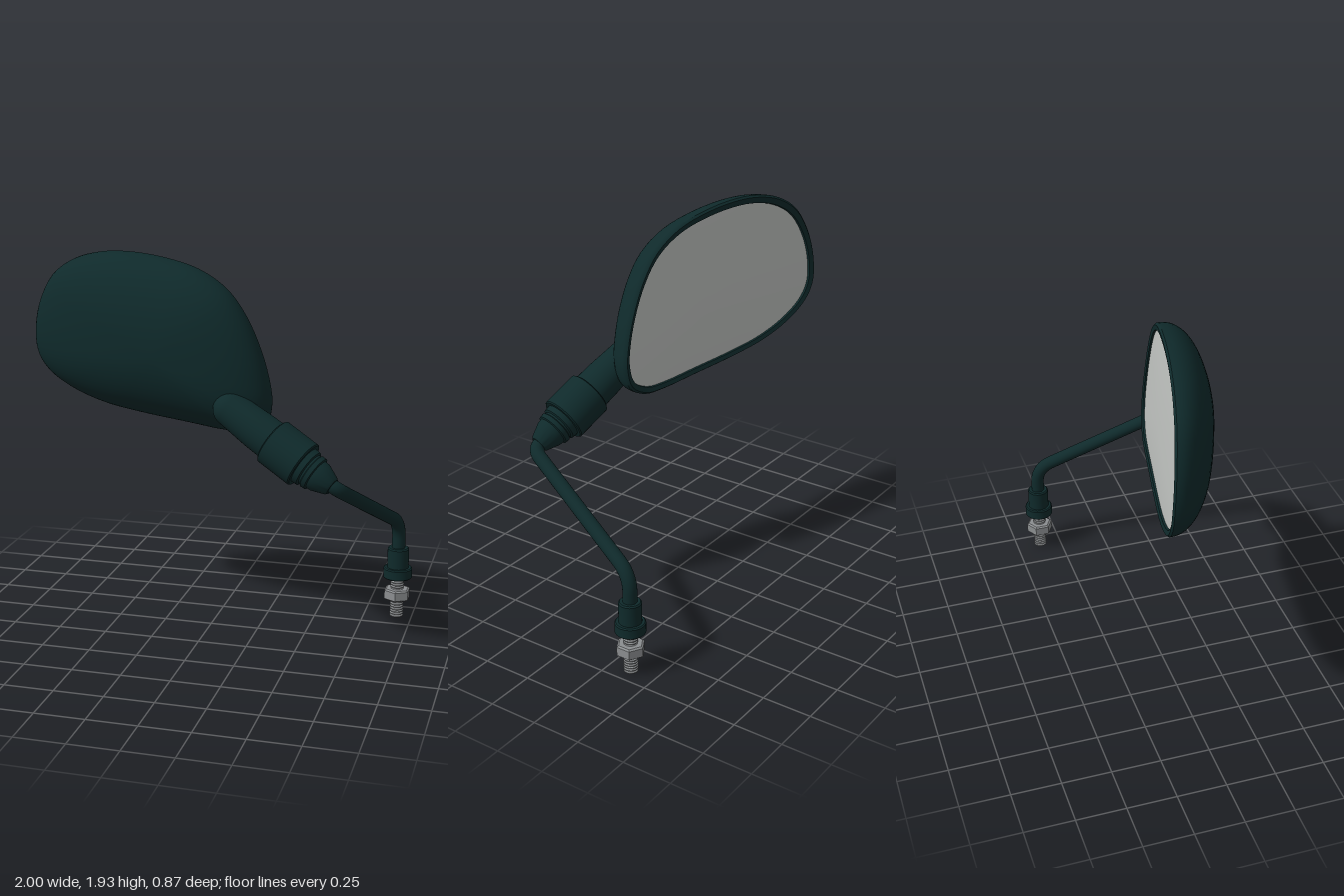
import * as THREE from 'three';
import { toCreasedNormals } from 'three/addons/utils/BufferGeometryUtils.js';

const V = (x, y, z) => new THREE.Vector3(x, y, z);

function material(name, color) {
  const m = new THREE.MeshStandardMaterial({ color });
  m.name = name;
  return m;
}

// Mirror head outline, counter-clockwise seen from the front
const OUTLINE = [
  [-1, 1.47], [-0.985, 1.36], [-0.92, 1.275], [-0.78, 1.195], [-0.6, 1.14], [-0.4, 1.112],
  [-0.1, 1.088], [0.1, 1.073], [0.22, 1.08], [0.31, 1.135], [0.335, 1.23], [0.325, 1.33],
  [0.28, 1.49], [0.2, 1.66], [0.1, 1.785], [-0.05, 1.873], [-0.25, 1.92], [-0.45, 1.935],
  [-0.6, 1.923], [-0.75, 1.88], [-0.88, 1.79], [-0.97, 1.63],
];
const CX = -0.25, CY = 1.45, SEG = 88;
const outline = new THREE.CatmullRomCurve3(OUTLINE.map(([x, y]) => V(x, y, 0)), true)
  .getPoints(SEG).slice(0, SEG);
const planeZ = (x, y) => 0.02 + 0.218 * x + 0.06 * (y - CY);

// Skin over rings [scaleX, scaleY, depth] of the outline on the tilted mirror plane
function ringSkin(rings, crease) {
  const pos = [], index = [];
  for (const [sx, sy, d] of rings) {
    for (const p of outline) {
      const x = CX + (p.x - CX) * sx, y = CY + (p.y - CY) * sy;
      pos.push(x, y, planeZ(x, y) + d);
    }
  }
  for (let i = 0; i < rings.length - 1; i++) {
    for (let j = 0; j < SEG; j++) {
      const k = (j + 1) % SEG;
      const a = i * SEG + j, b = i * SEG + k, c = a + SEG, d = b + SEG;
      if (rings[i][0] > 0) index.push(a, b, d);
      if (rings[i + 1][0] > 0) index.push(a, d, c);
      else if (rings[i][0] === 0) continue;
    }
  }
  const g = new THREE.BufferGeometry();
  g.setAttribute('position', new THREE.Float32BufferAttribute(pos, 3));
  g.setIndex(index);
  return toCreasedNormals(g, crease);
}

// Turned part from [height, radius] pairs
function turned(profile, sides, crease = 0.6) {
  const pts = profile.map(([h, r]) => new THREE.Vector2(r, h));
  return toCreasedNormals(new THREE.LatheGeometry(pts, sides), crease);
}

export function createModel() {
  const group = new THREE.Group();
  const plastic = material('dark plastic', 0x0f2a2b);
  const glassMat = material('mirror glass', 0xc2c5c2);
  const steel = material('steel', 0x8c8f91);

  const add = (name, geometry, mat, parent = group) => {
    const mesh = new THREE.Mesh(geometry, mat);
    mesh.name = name;
    parent.add(mesh);
    return mesh;
  };

  // Housing: recessed lip, rim, then a domed shell
  const rings = [[0.945, 0.912, 0.02], [0.95, 0.92, 0], [0.985, 0.98, -0.006], [1, 1, 0.004]];
  for (let i = 0; i <= 22; i++) {
    const a = (i / 22) * Math.PI / 2;
    const s = i === 22 ? 0 : Math.cos(a);
    rings.push([s, s, 0.018 + 0.247 * Math.sin(a)]);
  }
  add('housing', ringSkin(rings, 0.7), plastic);

  // Slightly convex glass
  const glassRings = [];
  for (let i = 0; i <= 8; i++) {
    const s = i / 8;
    glassRings.push([0.947 * s, 0.915 * s, 0.01 - 0.012 * (1 - s * s)]);
  }
  add('mirrorGlass', ringSkin(glassRings, 1), glassMat);

  // Neck and joint share one slanted axis
  const joint = new THREE.Group();
  joint.name = 'joint';
  joint.position.set(0.38, 1.09, 0.27);
  joint.quaternion.setFromUnitVectors(V(0, 1, 0), V(0.842, -0.495, 0.213).normalize());
  group.add(joint);

  const neck = [];
  for (let i = 0; i <= 8; i++) {
    const a = (i / 8) * Math.PI / 2;
    neck.push([-0.265 - 0.088 * Math.cos(a), 0.088 * Math.sin(a)]);
  }
  neck.push([-0.1, 0.098], [0.01, 0.1]);
  add('neck', turned(neck, 40), plastic, joint);
  add('collar', turned([
    [0, 0], [0, 0.113], [0.006, 0.12], [0.19, 0.12], [0.196, 0.114], [0.196, 0],
  ], 40), plastic, joint);
  add('jointBoot', turned([
    [0.19, 0.097], [0.225, 0.095], [0.23, 0.084], [0.24, 0.084], [0.245, 0.09], [0.268, 0.088],
    [0.272, 0.078], [0.295, 0.076], [0.36, 0.05], [0.37, 0.042], [0.37, 0],
  ], 40), plastic, joint);

  // Bent arm
  const bends = [V(0.725, 0.893, 0.352), V(0.92, 0.525, -0.365)];
  const start = V(0.65, 0.93, 0.338), end = V(0.92, 0.36, -0.365);
  const toward = (a, b, d) => a.clone().add(b.clone().sub(a).setLength(d));
  const path = new THREE.CurvePath();
  const [A, B] = bends;
  const a0 = toward(A, start, 0.05), a1 = toward(A, B, 0.06);
  const b0 = toward(B, A, 0.09), b1 = toward(B, end, 0.09);
  path.add(new THREE.LineCurve3(start, a0));
  path.add(new THREE.QuadraticBezierCurve3(a0, A, a1));
  path.add(new THREE.LineCurve3(a1, b0));
  path.add(new THREE.QuadraticBezierCurve3(b0, B, b1));
  path.add(new THREE.LineCurve3(b1, end));
  add('arm', new THREE.TubeGeometry(path, 110, 0.035, 20), plastic);

  // Mount: sleeve, flange, threaded stud and nut
  const mount = new THREE.Group();
  mount.name = 'mount';
  mount.position.set(0.92, 0, -0.365);
  group.add(mount);
  add('sleeve', turned([
    [0.27, 0.056], [0.378, 0.056], [0.385, 0.05], [0.385, 0],
  ], 32), plastic, mount);
  add('flange', turned([
    [0.218, 0], [0.218, 0.07], [0.223, 0.075], [0.27, 0.075], [0.276, 0.069], [0.276, 0],
  ], 32), plastic, mount);

  const thread = [[0, 0], [0, 0.029]];
  const TURNS = 16, pitch = 0.215 / TURNS;
  for (let i = 0; i < TURNS; i++) {
    thread.push([(i + 0.3) * pitch, 0.035], [(i + 0.6) * pitch, 0.035], [(i + 1) * pitch, 0.028]);
  }
  thread.push([0.22, 0.028]);
  add('threadedStud', turned(thread, 24), steel, mount);
  add('hexNut', turned([
    [0.098, 0], [0.098, 0.062], [0.105, 0.072], [0.15, 0.072], [0.157, 0.062], [0.157, 0],
  ], 6, 0.2), steel, mount);

  return group;
}
